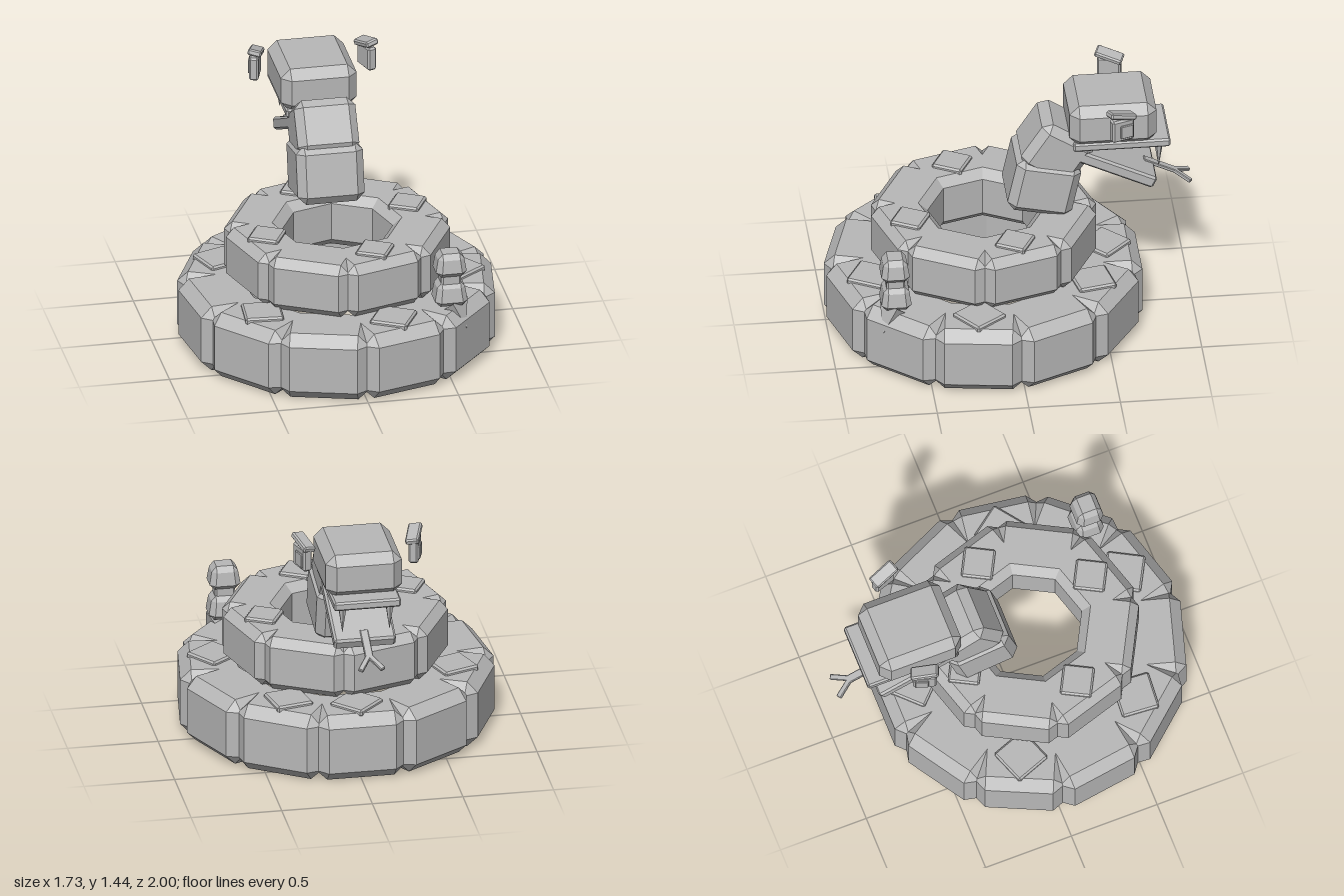
import * as THREE from 'three';
import { ConvexGeometry } from 'three/addons/geometries/ConvexGeometry.js';

const grey = new THREE.MeshStandardMaterial({ color: 0xb8b8b8 });
const CENTRE_Z = 0.137;

// Box with every edge chamfered by b; the top may be narrower (taper)
function chamferBox(w, h, d, b, taper = 1) {
  const points = [];
  for (const x of [-1, 1]) for (const y of [-1, 1]) for (const z of [-1, 1]) {
    for (const [cx, cy, cz] of [[0, b, b], [b, 0, b], [b, b, 0]]) {
      const t = y > 0 ? taper : 1;
      points.push(new THREE.Vector3(x * (w / 2 - cx) * t, y * (h / 2 - cy), z * (d / 2 - cz) * t));
    }
  }
  return new ConvexGeometry(points);
}

function add(parent, name, geometry, position, rotation = [0, 0, 0]) {
  const mesh = new THREE.Mesh(geometry, grey);
  mesh.name = name;
  mesh.position.set(...position);
  mesh.rotation.set(...rotation);
  parent.add(mesh);
  return mesh;
}

// Ring of chamfered blocks with diamond scales on some of them
function coil(name, { count, phase, radius, y, width, height, depth, bevel, scale, scaled }) {
  const group = new THREE.Group();
  group.name = name;
  group.position.z = CENTRE_Z;
  const block = chamferBox(width, height, depth, bevel);
  const plate = chamferBox(scale, 0.04, scale, 0.01);
  for (let i = 0; i < count; i++) {
    const a = phase + (i * Math.PI * 2) / count;
    const x = radius * Math.sin(a), z = radius * Math.cos(a);
    add(group, 'coilSegment', block, [x, y, z], [0, a, 0]);
    if (scaled.includes(i)) {
      add(group, 'backScale', plate, [x, y + height / 2, z], [0, a + Math.PI / 4, 0]);
    }
  }
  return group;
}

export function createModel() {
  const model = new THREE.Group();
  model.name = 'coiledSnake';

  // Body coils
  model.add(coil('lowerCoil', {
    count: 11, phase: Math.PI / 11, radius: 0.66, y: 0.192, width: 0.49, height: 0.384,
    depth: 0.375, bevel: 0.06, scale: 0.21, scaled: [0, 2, 4, 5, 7, 9],
  }));
  model.add(coil('upperCoil', {
    count: 8, phase: 0.297, radius: 0.433, y: 0.54, width: 0.46, height: 0.31,
    depth: 0.305, bevel: 0.047, scale: 0.172, scaled: [0, 2, 4, 6],
  }));

  // Neck
  add(model, 'lowerNeck', chamferBox(0.37, 0.33, 0.36, 0.045), [0, 0.86, -0.18], [-0.21, 0, 0]);
  add(model, 'upperNeck', chamferBox(0.34, 0.3, 0.33, 0.045), [0, 1.06, -0.25], [-0.575, 0, 0]);

  // Head and jaws
  add(model, 'head', chamferBox(0.42, 0.25, 0.475, 0.052), [0, 1.255, -0.553]);
  add(model, 'upperJaw', chamferBox(0.37, 0.05, 0.53, 0.01), [0, 1.125, -0.6]);
  add(model, 'lowerJaw', chamferBox(0.34, 0.07, 0.56, 0.012), [0, 0.98, -0.53], [-0.45, 0, 0]);

  // Forked tongue, lying along its own -z
  const tongue = new THREE.Group();
  tongue.name = 'tongue';
  tongue.position.set(0, 0.89, -0.79);
  tongue.rotation.x = -0.45;
  model.add(tongue);
  add(tongue, 'tongueStem', chamferBox(0.045, 0.02, 0.2, 0.004), [0, 0, -0.04]);

  for (const s of [-1, 1]) {
    add(tongue, 'tongueFork', chamferBox(0.03, 0.02, 0.115, 0.004), [s * 0.033, 0, -0.172], [0, -s * 0.55, 0]);

    // Fangs
    const fang = new THREE.ConeGeometry(0.027, 0.17, 6).toNonIndexed();
    fang.computeVertexNormals();
    add(model, 'fang', fang, [s * 0.13, 1.03, -0.805], [Math.PI, 0, 0]);

    // Eyes turned slightly forward
    const eye = new THREE.Group();
    eye.name = s > 0 ? 'leftEye' : 'rightEye';
    eye.position.set(s * 0.31, 1.318, -0.585);
    eye.rotation.y = s * 0.32;
    model.add(eye);
    add(eye, 'eyeball', chamferBox(0.052, 0.135, 0.13, 0.01), [0, 0, 0]);
    add(eye, 'pupil', chamferBox(0.02, 0.08, 0.075, 0.004), [s * 0.026, -0.005, -0.017]);
    add(eye, 'brow', chamferBox(0.075, 0.035, 0.155, 0.008), [-s * 0.006, 0.083, 0], [-0.27, 0, s * 0.2]);
  }

  // Rattle on the tail, with its tip pointing down over the coil
  add(model, 'rattleLower', chamferBox(0.18, 0.14, 0.165, 0.03, 0.85), [0.515, 0.477, 0.675]);
  add(model, 'rattleUpper', chamferBox(0.17, 0.135, 0.155, 0.03, 0.85), [0.515, 0.65, 0.68]);
  add(model, 'rattleCore', chamferBox(0.11, 0.22, 0.1, 0.01), [0.515, 0.53, 0.678]);
  const tip = new THREE.ConeGeometry(0.09, 0.15, 4).toNonIndexed();
  tip.computeVertexNormals();
  add(model, 'tailTip', tip, [0.565, 0.335, 0.715]).quaternion.setFromUnitVectors(
    new THREE.Vector3(0, 1, 0), new THREE.Vector3(0.065, -0.12, 0.07).normalize());

  return model;
}
